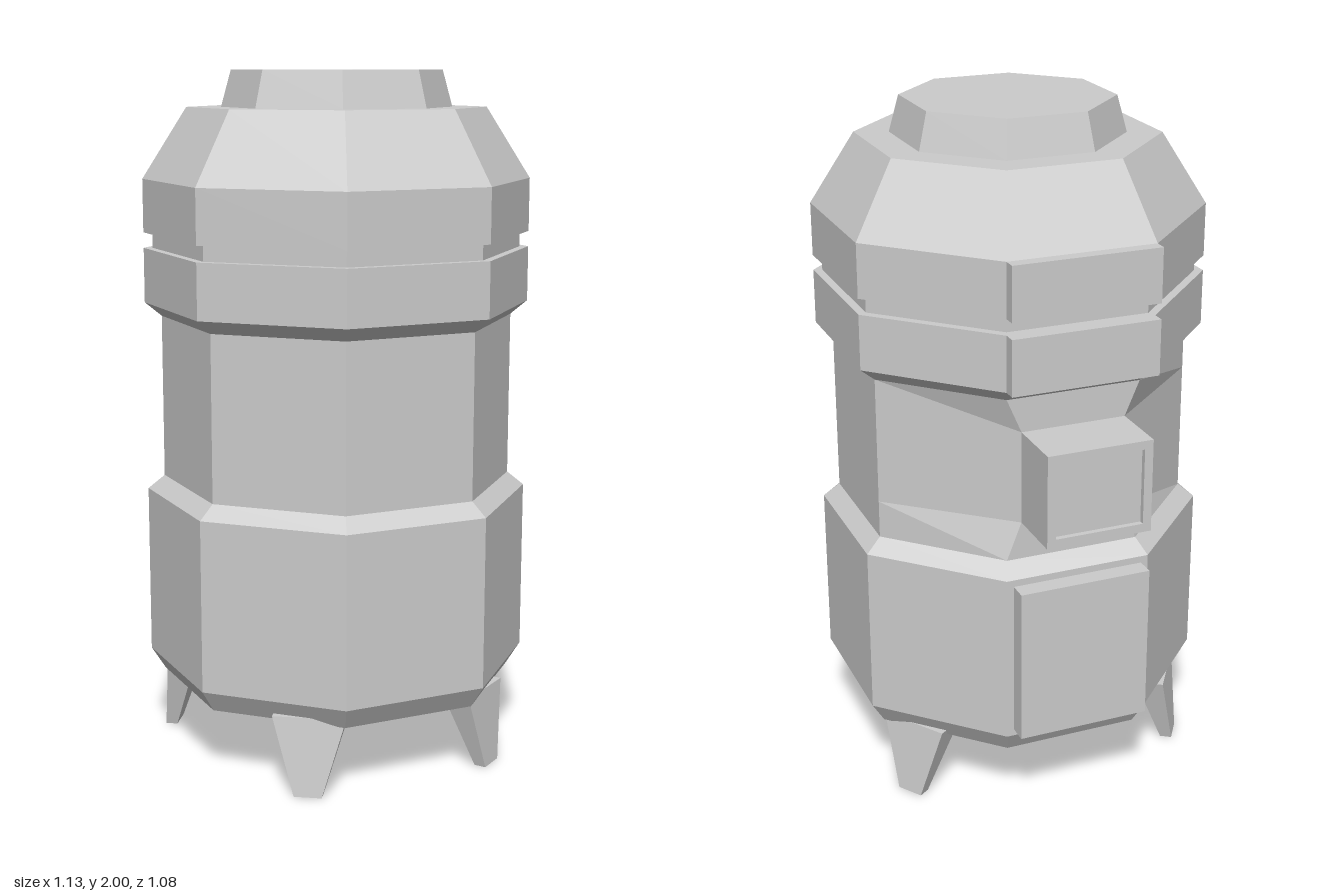
import * as THREE from 'three';

const grey = new THREE.MeshStandardMaterial({ color: 0xcccccc, flatShading: true, side: THREE.DoubleSide });

function add(parent, name, geometry) {
  const mesh = new THREE.Mesh(geometry, grey);
  mesh.name = name;
  parent.add(mesh);
  return mesh;
}

// Box spanning z0..z1, centred on x = 0, between two heights
function slab(width, y0, y1, z0, z1) {
  return new THREE.BoxGeometry(width, y1 - y0, z1 - z0).translate(0, (y0 + y1) / 2, (z0 + z1) / 2);
}

// Eight-sided shell with one flat side facing +z
function octagonShell(profile) {
  const points = profile.map(([r, y]) => new THREE.Vector2(r, y));
  return new THREE.LatheGeometry(points, 8, Math.PI / 8);
}

// Tapered leg: wide at the hull, narrow at the foot, splayed outwards
function legGeometry() {
  const geo = new THREE.BoxGeometry(1, 1, 1);
  const p = geo.attributes.position;
  for (let i = 0; i < p.count; i++) {
    const top = p.getY(i) > 0, outer = p.getZ(i) > 0;
    const width = top ? 0.21 : 0.08;
    const z = outer ? (top ? 0.505 : 0.53) : (top ? 0.42 : 0.495);
    p.setXYZ(i, p.getX(i) * width, top ? 0.225 : 0, z);
  }
  geo.computeVertexNormals();
  return geo;
}

export function createModel() {
  const model = new THREE.Group();
  model.name = 'pod';
  const pod = new THREE.Group();
  pod.name = 'podAssembly';
  pod.position.set(0.0325, 0, 0.005);
  pod.rotation.y = THREE.MathUtils.degToRad(-131);
  model.add(pod);

  // Lower hull, open underneath
  add(pod, 'lowerHull', octagonShell([
    [0.522, 0.205], [0.564, 0.27], [0.564, 0.77], [0.515, 0.81],
  ]));

  // Waist, its hatch side pinched in to meet the hatch box
  const boxHalf = 0.154, boxLow = 0.92, boxHigh = 1.19;
  const waist = octagonShell([[0.515, 0.81], [0.515, boxLow], [0.515, boxHigh], [0.515, 1.29]]);
  const p = waist.attributes.position;
  for (let i = 0; i < p.count; i++) {
    const y = p.getY(i);
    if (p.getZ(i) > 0.45 && y > 0.85 && y < 1.25) p.setX(i, Math.sign(p.getX(i)) * boxHalf);
  }
  waist.computeVertexNormals();
  add(pod, 'waist', waist);

  // Upper hull with groove, sloped shoulder and roof cap
  add(pod, 'upperHull', octagonShell([
    [0.515, 1.29], [0.564, 1.33], [0.564, 1.49], [0.538, 1.49], [0.538, 1.535],
    [0.564, 1.535], [0.564, 1.69], [0.434, 1.895], [0.334, 1.895],
  ]));
  add(pod, 'roofCap', octagonShell([[0.334, 1.895], [0.305, 2], [0, 2]]));

  // Raised plates on the hatch side
  add(pod, 'lowerPlate', slab(0.39, 0.29, 0.75, 0.5, 0.576));
  add(pod, 'lowerBandPlate', slab(0.43, 1.33, 1.49, 0.5, 0.559));
  add(pod, 'upperBandPlate', slab(0.43, 1.535, 1.69, 0.5, 0.559));

  // Hatch box: a frame with a sunken panel
  const rect = (path, w, h) => path.moveTo(-w, -h).lineTo(w, -h).lineTo(w, h).lineTo(-w, h).closePath();
  const halfHeight = (boxHigh - boxLow) / 2;
  const frame = new THREE.Shape();
  rect(frame, boxHalf, halfHeight);
  const opening = new THREE.Path();
  rect(opening, boxHalf - 0.025, halfHeight - 0.025);
  frame.holes.push(opening);
  const frameGeo = new THREE.ExtrudeGeometry(frame, { depth: 0.186, bevelEnabled: false });
  add(pod, 'hatchFrame', frameGeo.translate(0, (boxLow + boxHigh) / 2, 0.47));
  add(pod, 'hatchPanel', slab(2 * boxHalf - 0.05, boxLow + 0.025, boxHigh - 0.025, 0.47, 0.64));

  // Four legs, mirrored about the hatch axis
  const leg = legGeometry();
  for (const angle of [56, 146]) {
    for (const side of [-1, 1]) {
      add(pod, 'leg', leg).rotation.y = THREE.MathUtils.degToRad(side * angle);
    }
  }
  return model;
}
